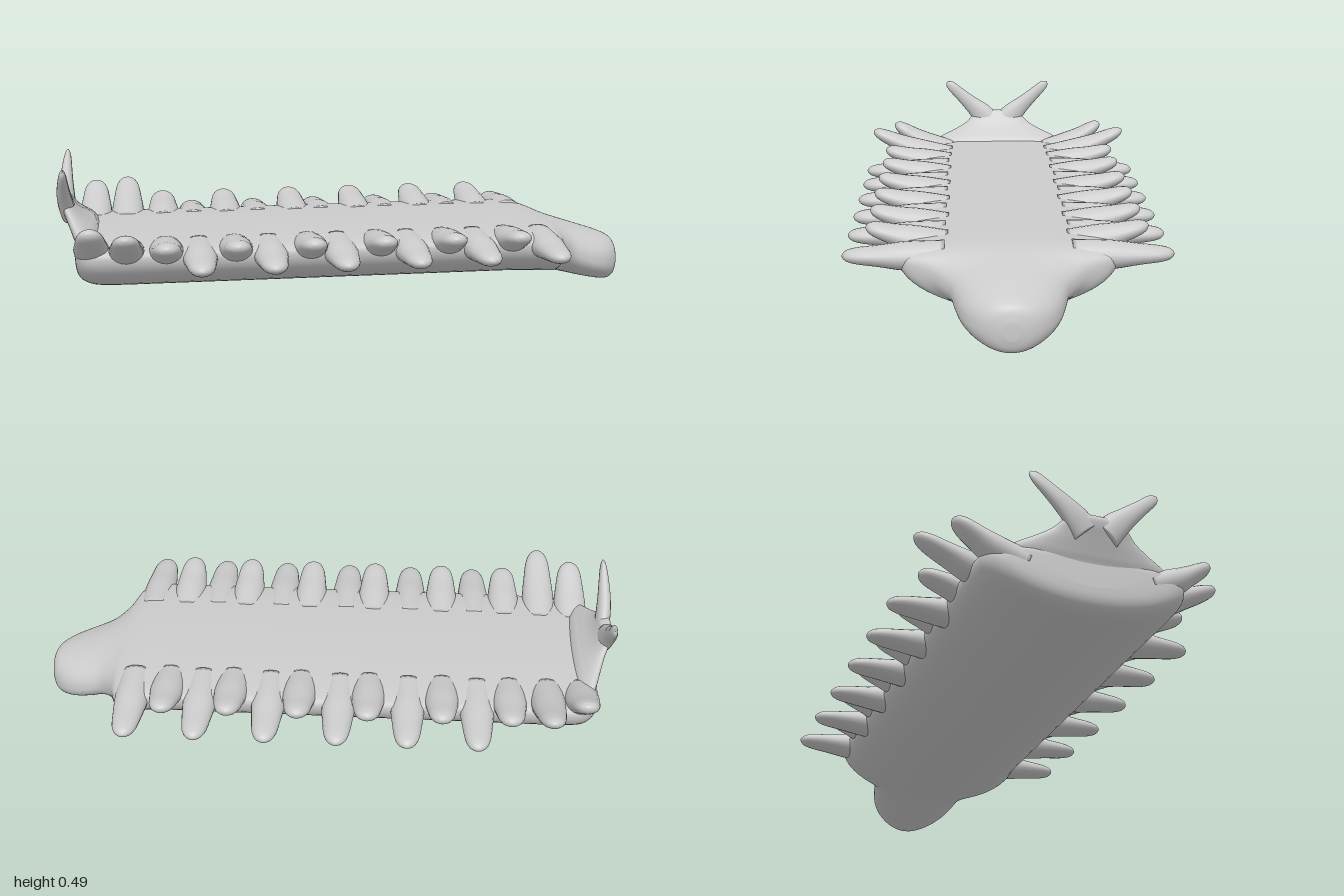
import * as THREE from 'three';

const material = new THREE.MeshStandardMaterial({ color: 0xcccccc });

// Smooth interpolation through rows of numbers
function smoothRows(rows, steps) {
  const out = [];
  const row = (i) => rows[Math.min(Math.max(i, 0), rows.length - 1)];
  for (let i = 0; i < rows.length - 1; i++) {
    for (let s = 0; s < steps; s++) {
      const t = s / steps;
      out.push(row(i).map((b, k) => {
        const a = row(i - 1)[k], c = row(i + 1)[k], d = row(i + 2)[k];
        return b + 0.5 * t * (c - a + t * (2 * a - 5 * b + 4 * c - d + t * (3 * (b - c) + d - a)));
      }));
    }
  }
  out.push(rows[rows.length - 1]);
  return out;
}

// Closed smooth skin over a list of rings, with both ends capped
function skin(name, rings) {
  const n = rings[0].length, last = (rings.length - 1) * n;
  const points = rings.flat();
  for (const ring of [rings[0], rings[rings.length - 1]]) {
    const centre = new THREE.Vector3();
    ring.forEach((p) => centre.addScaledVector(p, 1 / n));
    points.push(centre);
  }
  const index = [];
  for (let j = 0; j < n; j++) {
    const k = (j + 1) % n;
    for (let i = 0; i < last; i += n) {
      index.push(i + j, i + k, i + n + j, i + k, i + n + k, i + n + j);
    }
    index.push(last + n, k, j, last + n + 1, last + j, last + k);
  }
  // Turn the faces outward
  let volume = 0;
  const cross = new THREE.Vector3();
  for (let i = 0; i < index.length; i += 3) {
    const [a, b, c] = [0, 1, 2].map((k) => points[index[i + k]]);
    volume += cross.crossVectors(b, c).dot(a);
  }
  if (volume < 0) index.reverse();
  const geometry = new THREE.BufferGeometry().setFromPoints(points);
  geometry.setIndex(index);
  geometry.computeVertexNormals();
  const mesh = new THREE.Mesh(geometry, material);
  mesh.name = name;
  return mesh;
}

// Elliptical limb: rows of [x, y, z, radius along axis, radius across it]
function limb(name, rows, axis, sides = 20) {
  const s = smoothRows(rows, 6);
  const centres = s.map((r) => new THREE.Vector3(r[0], r[1], r[2]));
  const rings = s.map((r, i) => {
    const ahead = centres[Math.min(i + 1, s.length - 1)];
    const behind = centres[Math.max(i - 1, 0)];
    const across = ahead.clone().sub(behind).cross(axis).normalize();
    return Array.from({ length: sides }, (_, j) => {
      const a = (j / sides) * Math.PI * 2;
      return centres[i].clone()
        .addScaledVector(axis, r[3] * Math.cos(a))
        .addScaledVector(across, r[4] * Math.sin(a));
    });
  });
  return skin(name, rings);
}

const X = new THREE.Vector3(1, 0, 0), Z = new THREE.Vector3(0, 0, 1);

// Flat-backed hull from tail to head: [x, half width, top, rim, bottom, top roundness]
function makeBody() {
  const rows = [
    [-0.945, 0.14, 0.245, 0.21, 0.15, 0.5],
    [-0.94, 0.25, 0.252, 0.214, 0.115, 0.5],
    [-0.925, 0.30, 0.255, 0.215, 0.09, 0.5],
    [-0.895, 0.328, 0.255, 0.215, 0.074, 0.5],
    [-0.85, 0.338, 0.255, 0.215, 0.067, 0.5],
    [-0.76, 0.34, 0.255, 0.215, 0.065, 0.5],
    [-0.58, 0.34, 0.255, 0.215, 0.065, 0.5],
    [-0.25, 0.34, 0.255, 0.215, 0.065, 0.5],
    [0.1, 0.34, 0.255, 0.215, 0.065, 0.5],
    [0.4, 0.34, 0.255, 0.215, 0.065, 0.5],
    [0.57, 0.34, 0.255, 0.213, 0.065, 0.5],
    [0.66, 0.345, 0.252, 0.205, 0.063, 0.55],
    [0.71, 0.32, 0.245, 0.192, 0.058, 0.65],
    [0.745, 0.24, 0.236, 0.17, 0.05, 0.75],
    [0.79, 0.188, 0.224, 0.14, 0.038, 0.8],
    [0.84, 0.17, 0.209, 0.112, 0.025, 0.8],
    [0.89, 0.155, 0.193, 0.095, 0.013, 0.8],
    [0.935, 0.132, 0.178, 0.085, 0.004, 0.8],
    [0.97, 0.10, 0.162, 0.08, 0.003, 0.8],
    [0.99, 0.066, 0.142, 0.08, 0.018, 0.9],
    [1.0, 0.025, 0.105, 0.08, 0.05, 1],
  ];
  const sides = 56;
  return skin('body', smoothRows(rows, 5).map(([x, w, top, rim, bottom, round]) =>
    Array.from({ length: sides }, (_, j) => {
      const a = (j / sides) * Math.PI * 2, s = Math.sin(a);
      const y = s > 0 ? rim + (top - rim) * s ** round : rim + (rim - bottom) * s;
      return new THREE.Vector3(x, y, w * Math.cos(a));
    })));
}

// Blunt side lobe reaching out to a rounded tip
function makeLobe(name, x, side, reach, tipY, lift) {
  const at = (z, y, rx, ry) => [x, y, side * z, rx, ry];
  const span = reach - 0.2;
  const height = (t) => 0.207 + (tipY - 0.207) * t ** lift;
  return limb(name, [
    at(0.2, 0.207, 0.06, 0.05),
    at(0.2 + span * 0.38, height(0.38), 0.058, 0.045),
    at(0.2 + span * 0.65, height(0.65), 0.05, 0.033),
    at(0.2 + span * 0.84, height(0.84), 0.042, 0.026),
    at(0.2 + span * 0.94, height(0.94), 0.03, 0.019),
    at(0.2 + span * 0.985, height(0.985), 0.015, 0.01),
    at(reach, tipY, 0.003, 0.002),
  ], X);
}

export function createModel() {
  const model = new THREE.Group();
  model.name = 'creature';
  model.add(makeBody());

  // Lobes along both flanks, long low ones alternating with short raised ones
  const longX = [-0.53, -0.295, -0.06, 0.18, 0.415, 0.65];
  const shortX = [-0.64, -0.41, -0.16, 0.075, 0.31, 0.53];
  for (const side of [1, -1]) {
    for (const x of longX) model.add(makeLobe('longLobe', x, side, 0.52, 0.21, 1));
    for (const x of shortX) model.add(makeLobe('shortLobe', x, side, 0.452, 0.272, 1.2));
    model.add(makeLobe('rearLongLobe', -0.77, side, 0.508, 0.322, 1.3));
    model.add(makeLobe('rearShortLobe', -0.885, side, 0.425, 0.33, 1.3));

    // Slim horn leaning outward from the tail crest
    model.add(limb('tailHorn', [
      [-0.968, 0.315, side * 0.03, 0.026, 0.05],
      [-0.974, 0.355, side * 0.065, 0.026, 0.044],
      [-0.977, 0.395, side * 0.108, 0.023, 0.033],
      [-0.976, 0.435, side * 0.152, 0.018, 0.025],
      [-0.974, 0.465, side * 0.184, 0.013, 0.021],
      [-0.973, 0.481, side * 0.201, 0.008, 0.015],
      [-0.972, 0.49, side * 0.209, 0.002, 0.004],
    ], X));
  }

  // Tail crest sweeping up from the blunt rear end
  model.add(limb('tailCrest', [
    [-0.895, 0.19, 0, 0.32, 0.045],
    [-0.905, 0.235, 0, 0.29, 0.042],
    [-0.925, 0.265, 0, 0.24, 0.036],
    [-0.942, 0.29, 0, 0.185, 0.03],
    [-0.957, 0.315, 0, 0.138, 0.026],
    [-0.97, 0.34, 0, 0.11, 0.024],
    [-0.977, 0.36, 0, 0.09, 0.02],
    [-0.979, 0.37, 0, 0.05, 0.008],
  ], Z, 40));

  return model;
}
